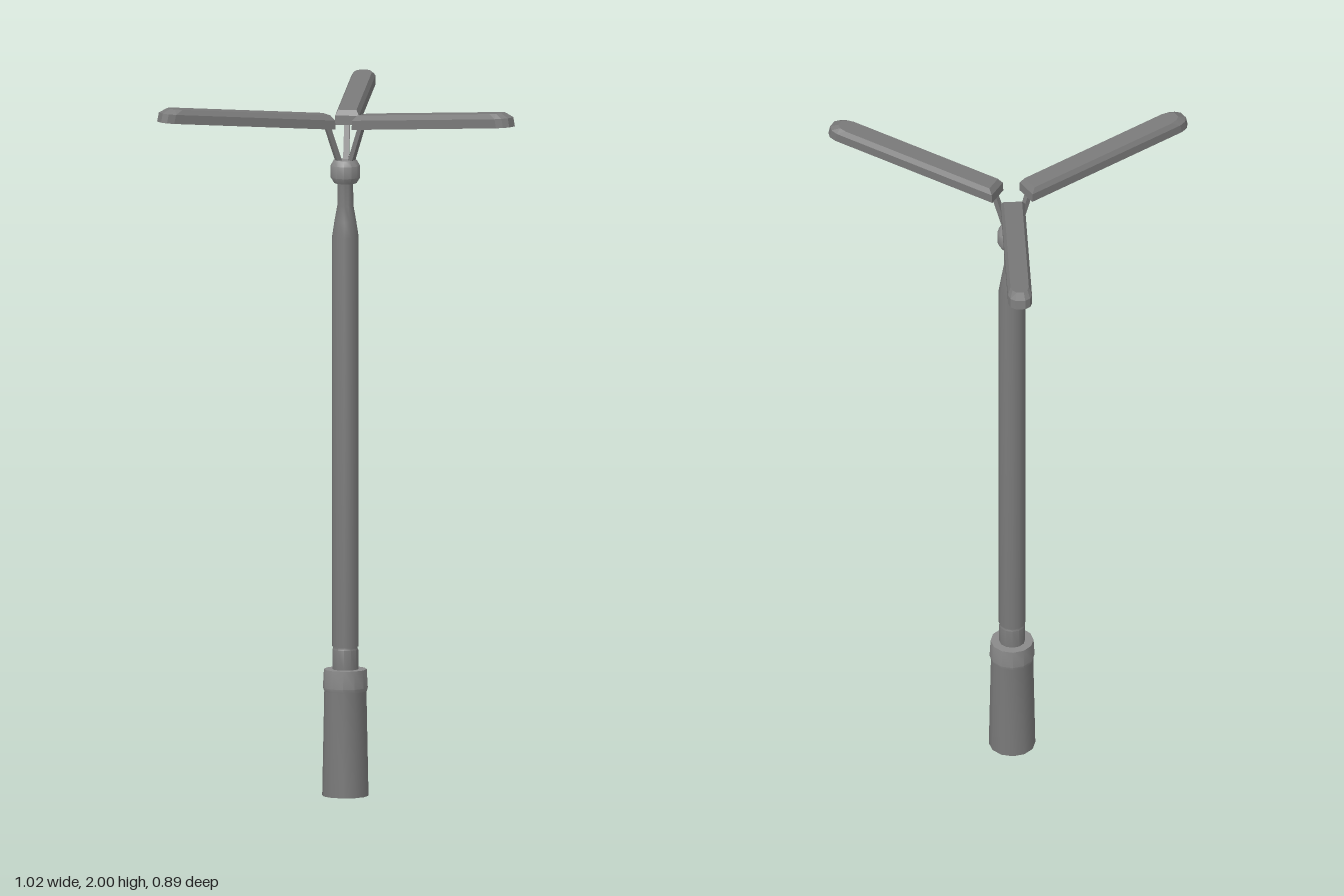
import * as THREE from 'three';
import { toCreasedNormals } from 'three/addons/utils/BufferGeometryUtils.js';
import { ConvexGeometry } from 'three/addons/geometries/ConvexGeometry.js';

const darkGrey = new THREE.MeshStandardMaterial({ color: 0x797979 });
const midGrey = new THREE.MeshStandardMaterial({ color: 0x8a8a8a });

function add(parent, name, geometry, material = darkGrey) {
  const mesh = new THREE.Mesh(geometry, material);
  mesh.name = name;
  parent.add(mesh);
  return mesh;
}

// Turned part from [radius, height] pairs, listed bottom to top
function turned(profile) {
  const points = profile.map(([r, y]) => new THREE.Vector2(r, y));
  return toCreasedNormals(new THREE.LatheGeometry(points, 12), 0.55);
}

// Outline of the lamp head at one height: square inner end, rounded outer end
function headOutline(y, halfWidth, inner, outer) {
  const corners = [
    [1, inner], [1, outer - 0.032], [0.82, outer - 0.012], [0.4, outer],
  ];
  return corners.flatMap(([k, z]) => [
    new THREE.Vector3(k * halfWidth, y, z),
    new THREE.Vector3(-k * halfWidth, y, z),
  ]);
}

export function createModel() {
  const model = new THREE.Group();
  model.name = 'streetLamp';
  const lamp = new THREE.Group();
  lamp.name = 'lampPost';
  lamp.position.set(0.002, 0, -0.134);
  model.add(lamp);

  // Base and its collar
  add(lamp, 'base', turned([[0, 0], [0.066, 0], [0.06, 0.302], [0, 0.302]]));
  add(lamp, 'baseCollar', turned([
    [0, 0.3], [0.061, 0.3], [0.064, 0.31], [0.061, 0.362], [0, 0.362],
  ]), midGrey);

  // Pole with a narrowed top
  add(lamp, 'poleNeck', turned([[0.037, 0.36], [0.037, 0.418], [0.035, 0.422], [0.035, 0.43]]));
  add(lamp, 'pole', turned([
    [0, 0.427], [0.038, 0.427], [0.038, 1.6], [0.031, 1.645], [0.023, 1.69], [0.022, 1.76],
  ]));
  add(lamp, 'knob', turned([
    [0, 1.754], [0.032, 1.754], [0.042, 1.77], [0.042, 1.804], [0.033, 1.82], [0, 1.82],
  ]), midGrey);

  // Three arms, each a leaning strut and a slightly raised lamp head
  const headGeometry = new ConvexGeometry([
    ...headOutline(0, 0.034, 0.046, 0.583),
    ...headOutline(0.026, 0.034, 0.05, 0.58),
    ...headOutline(0.04, 0.026, 0.063, 0.557),
  ]);
  const foot = new THREE.Vector3(0, 1.81, 0.018);
  const top = new THREE.Vector3(0, 1.93, 0.06);
  const lean = top.clone().sub(foot);

  for (let i = 0; i < 3; i++) {
    const arm = new THREE.Group();
    arm.name = 'arm' + (i + 1);
    arm.rotation.y = (i * Math.PI * 2) / 3;
    lamp.add(arm);

    const strut = add(arm, 'strut', new THREE.BoxGeometry(0.016, lean.length(), 0.014));
    strut.position.copy(foot).addScaledVector(lean, 0.5);
    strut.rotation.x = Math.atan2(lean.z, lean.y);

    const head = add(arm, 'lampHead', headGeometry);
    head.position.y = 1.909;
    head.rotation.x = -0.092;
  }
  return model;
}
